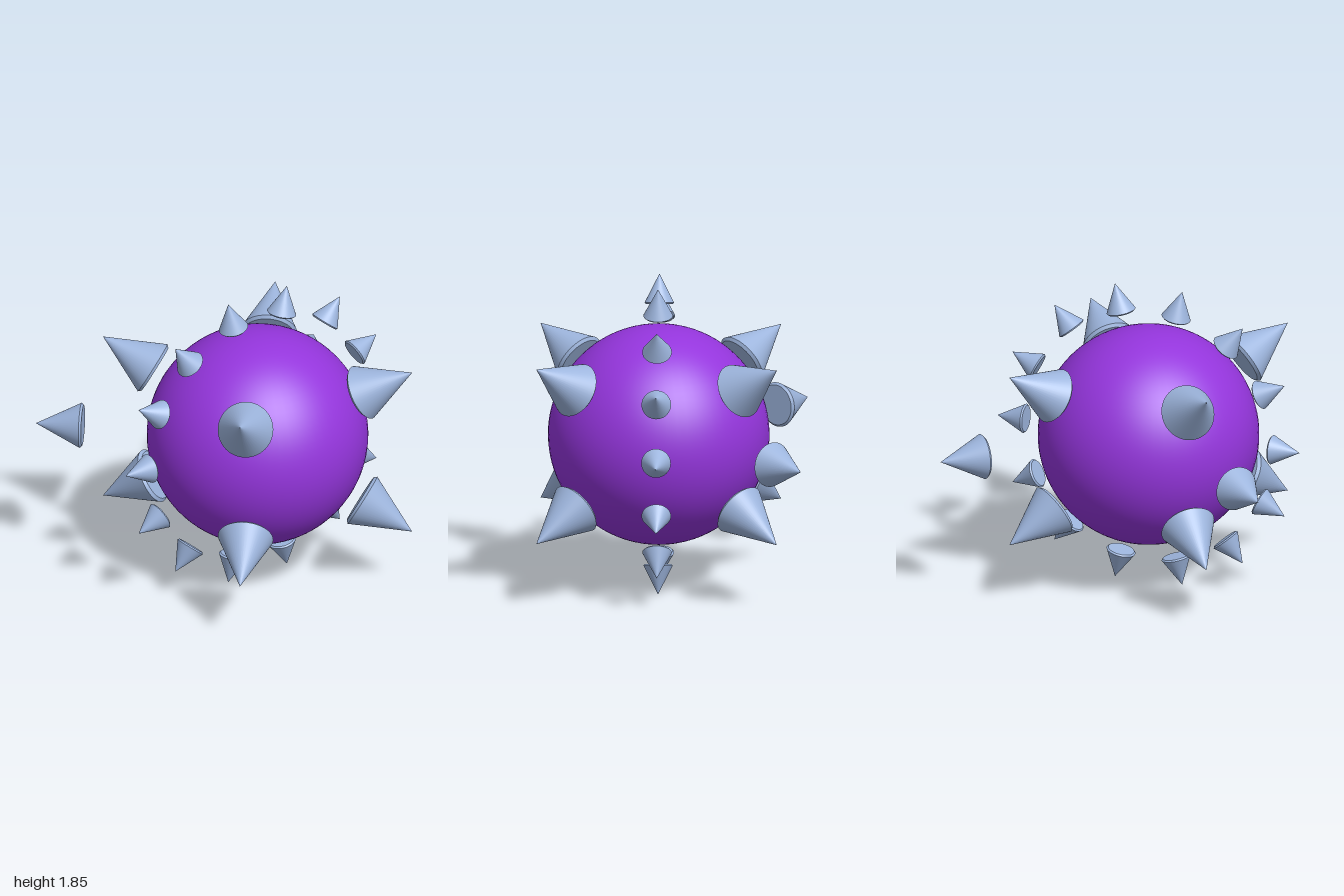
import * as THREE from 'three';
import { mergeGeometries } from 'three/addons/utils/BufferGeometryUtils.js';

const purple = new THREE.MeshStandardMaterial({ color: 0x9435dc });
purple.name = 'purple';
const steelBlue = new THREE.MeshStandardMaterial({ color: 0x9db5dd });
steelBlue.name = 'steelBlue';

// Cone along +y with its rim at y = 0 and a narrow chamfer around a flat base
function spikeGeometry(radius, height) {
  const bevel = radius * 0.1;
  const cone = new THREE.ConeGeometry(radius, height, 48, 1, true);
  cone.translate(0, height / 2, 0);
  const chamfer = new THREE.CylinderGeometry(radius, radius - bevel, bevel, 48, 1, true);
  chamfer.translate(0, -bevel / 2, 0);
  const base = new THREE.CircleGeometry(radius - bevel, 48);
  base.rotateX(Math.PI / 2);
  base.translate(0, -bevel, 0);
  return mergeGeometries([cone, chamfer, base]);
}

const up = new THREE.Vector3(0, 1, 0);

// Spike pointing outwards, its rim at the given distance from the body centre
function addSpike(parent, name, geometry, direction, distance) {
  const d = direction.clone().normalize();
  const spike = new THREE.Mesh(geometry, steelBlue);
  spike.name = name;
  spike.quaternion.setFromUnitVectors(up, d);
  spike.position.copy(d).multiplyScalar(distance);
  parent.add(spike);
}

export function createModel() {
  const model = new THREE.Group();
  model.name = 'spikedBall';

  const ball = new THREE.Group();
  ball.name = 'ballWithSpikes';
  ball.position.set(0, 0.932, 0.074);
  model.add(ball);

  const body = new THREE.Mesh(new THREE.SphereGeometry(0.656, 64, 48), purple);
  body.name = 'body';
  ball.add(body);

  // Ring of small floating spikes around the body
  const small = spikeGeometry(0.0875, 0.172);
  for (let i = 0; i < 14; i++) {
    const a = (i / 14) * Math.PI * 2;
    addSpike(ball, 'ringSpike', small, new THREE.Vector3(Math.cos(a), Math.sin(a), 0), 0.778);
  }

  const corner = spikeGeometry(0.165, 0.348);
  const rear = spikeGeometry(0.134, 0.267);
  for (const x of [-1, 1]) {
    // Large spikes towards the eight corners
    for (const y of [-1, 1]) for (const z of [-1, 1]) {
      addSpike(ball, 'cornerSpike', corner, new THREE.Vector3(x * 0.62, y * 0.53, z * 0.712), 0.735);
    }
    // Outlying pair behind the body
    addSpike(ball, 'rearSpike', rear, new THREE.Vector3(x, 0, -0.862), 1.053);
  }
  return model;
}
